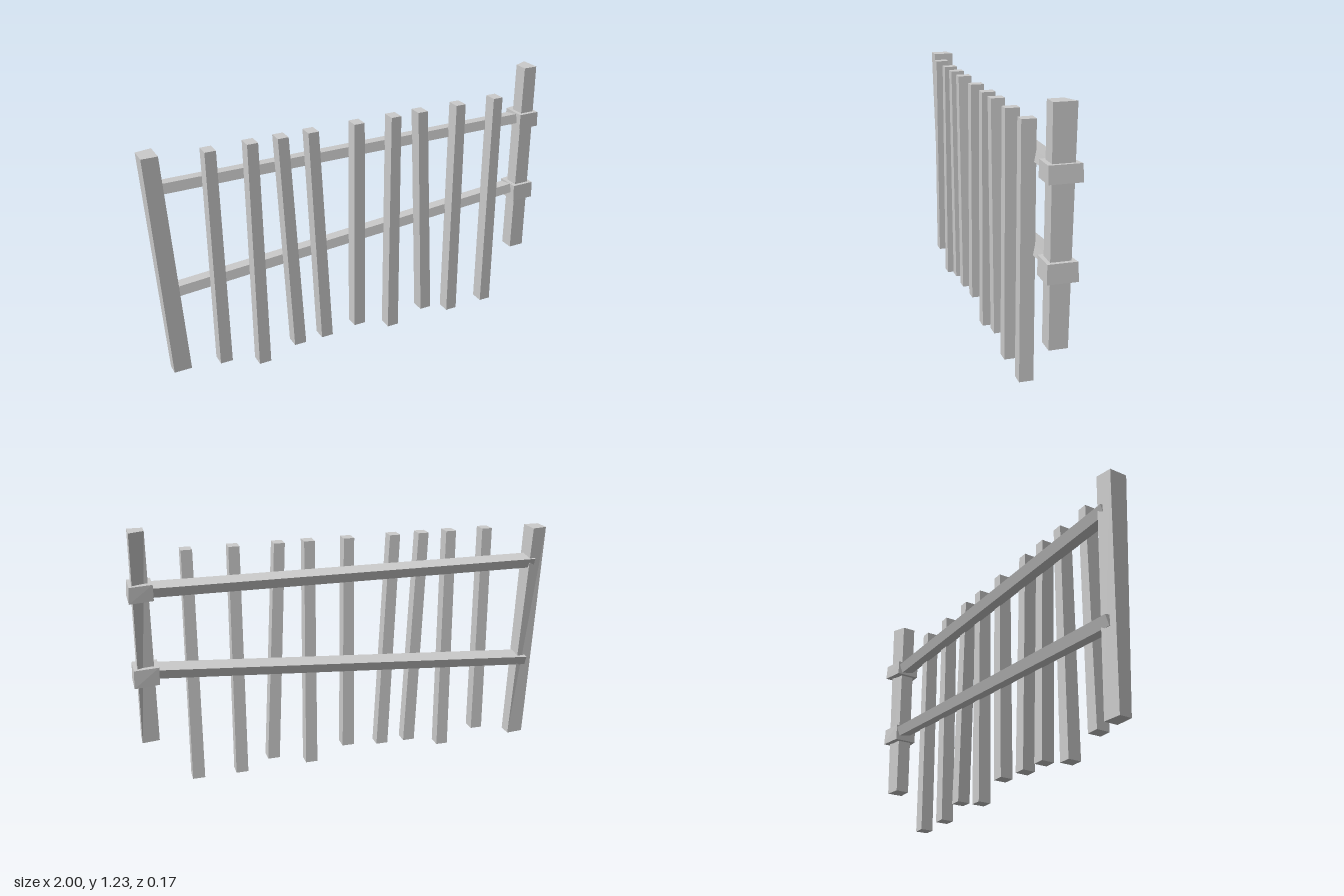
import * as THREE from 'three';

const material = new THREE.MeshStandardMaterial({ color: 0xcccccc, flatShading: true });

// Solid lofted between two four-cornered ends a and b (counter-clockwise seen from b's side)
function beam(name, a, b) {
  const pos = [];
  const quad = (p, q, r, s) => pos.push(...p, ...q, ...r, ...p, ...r, ...s);
  for (let i = 0; i < 4; i++) {
    const j = (i + 1) % 4;
    quad(a[i], a[j], b[j], b[i]);
  }
  quad(b[0], b[1], b[2], b[3]);
  quad(a[3], a[2], a[1], a[0]);
  const geometry = new THREE.BufferGeometry();
  geometry.setAttribute('position', new THREE.Float32BufferAttribute(pos, 3));
  geometry.computeVertexNormals();
  const mesh = new THREE.Mesh(geometry, material);
  mesh.name = name;
  return mesh;
}

// Level outline: left and right x, front z, back z at the left and right corners
const outline = (y, x0, x1, front, backL, backR = backL) => [
  [x0, y, front], [x1, y, front], [x1, y, backR], [x0, y, backL],
];

// Slightly rolled rail section at a point
const railSection = (x, y, z) => [
  [0.02, -0.015], [-0.046, -0.03], [-0.064, 0.016], [0.012, 0.03],
].map(([dz, dy]) => [x, y + dy, z + dz]);

export function createModel() {
  const fence = new THREE.Group();
  fence.name = 'fence';

  // Leaning post on the right-hand side of the model
  fence.add(beam('leaningPost',
    outline(0.045, -0.95, -0.867, 0.022, -0.035, -0.043),
    outline(1.123, -1.0, -0.927, 0.04, -0.045, -0.06)));

  // Short post and its two collars
  fence.add(beam('collaredPost',
    outline(0.25, 0.9, 0.978, 0.038, -0.03, -0.042),
    outline(1.228, 0.9, 0.968, 0.037, -0.03, -0.06)));
  fence.add(beam('upperCollar',
    outline(0.925, 0.882, 0.99, 0.057, -0.06, -0.083),
    outline(0.998, 0.882, 0.985, 0.057, -0.06, -0.08)));
  fence.add(beam('lowerCollar',
    outline(0.532, 0.882, 0.995, 0.057, -0.055, -0.073),
    outline(0.614, 0.88, 0.992, 0.055, -0.055, -0.069)));

  // Rails
  fence.add(beam('upperRail',
    railSection(-0.945, 0.957, 0), railSection(0.93, 0.963, 0.01)));
  fence.add(beam('lowerRail',
    railSection(-0.935, 0.45, 0), railSection(0.93, 0.588, 0.01)));

  // Pickets: top x, bottom x, bottom y
  const pickets = [
    [-0.72, -0.717, 0.068], [-0.533, -0.527, 0.003], [-0.393, -0.343, 0.052],
    [-0.25, -0.2, 0.052], [-0.025, -0.022, 0.068], [0.163, 0.167, 0.003],
    [0.303, 0.357, 0.052], [0.51, 0.515, 0], [0.72, 0.725, 0],
  ];
  for (const [top, bottom, y] of pickets) {
    fence.add(beam('picket',
      outline(y, bottom - 0.029, bottom + 0.029, 0.083, 0.02),
      outline(1.12, top - 0.025, top + 0.025, 0.083, 0.02)));
  }
  return fence;
}
